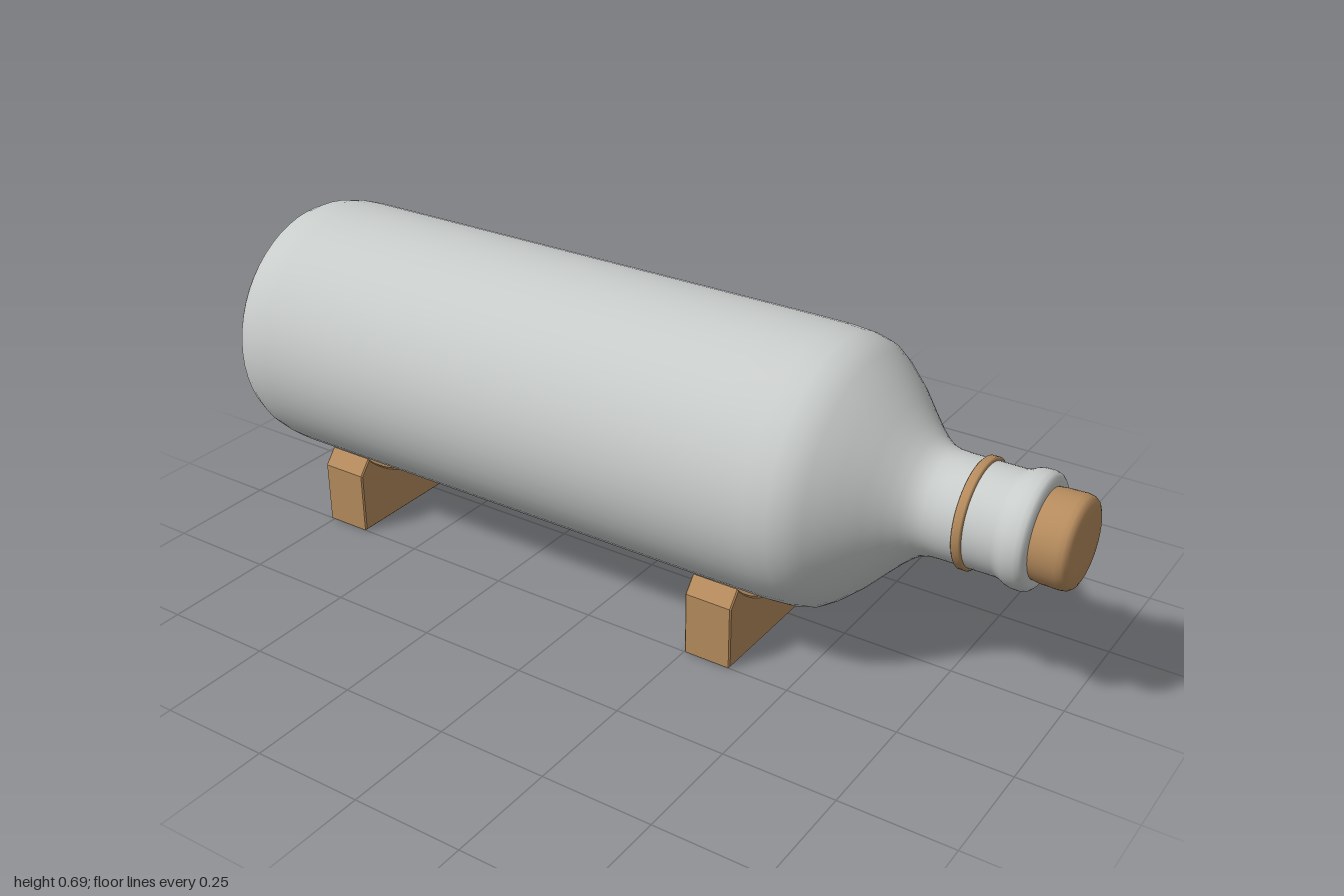
import * as THREE from 'three';

const AXIS_Y = 0.39; // height of the bottle's axis

export function createModel() {
  const model = new THREE.Group();
  model.name = 'bottleOnStand';
  const glass = new THREE.MeshStandardMaterial({ color: 0xc8ccca });
  glass.name = 'pale grey';
  const wood = new THREE.MeshStandardMaterial({ color: 0xb58b5d });
  wood.name = 'wood brown';

  // Turned part lying along x, from [x, radius] pairs
  function turned(name, profile, material) {
    const points = profile.map(([x, r]) => new THREE.Vector2(r, x));
    const geometry = new THREE.LatheGeometry(points, 56);
    geometry.rotateZ(-Math.PI / 2);
    geometry.translate(0, AXIS_Y, 0);
    const mesh = new THREE.Mesh(geometry, material);
    mesh.name = name;
    model.add(mesh);
  }

  // Body, shoulder, neck and lip in one profile
  turned('bottle', [
    [-1, 0], [-1, 0.22], [-0.998, 0.24], [-0.988, 0.262], [-0.97, 0.28], [-0.945, 0.291],
    [-0.905, 0.298], [-0.87, 0.3], [-0.8, 0.3], [0.3, 0.3], [0.41, 0.299], [0.46, 0.295],
    [0.495, 0.286], [0.525, 0.266], [0.57, 0.226], [0.61, 0.183], [0.64, 0.152],
    [0.665, 0.13], [0.685, 0.118], [0.705, 0.112], [0.73, 0.111], [0.85, 0.111],
    [0.862, 0.114], [0.873, 0.12], [0.885, 0.123], [0.902, 0.123], [0.912, 0.12],
    [0.918, 0.114], [0.92, 0.105], [0.919, 0.09], [0.919, 0],
  ], glass);

  // Thin ring round the neck
  turned('neckBand', [
    [0.769, 0.109], [0.77, 0.115], [0.773, 0.118], [0.787, 0.118], [0.79, 0.115], [0.791, 0.109],
  ], wood);

  // Stopper with softened rim
  turned('cork', [
    [0.9, 0.094], [0.92, 0.095], [0.935, 0.097], [0.975, 0.098], [0.987, 0.096],
    [0.994, 0.091], [0.998, 0.082], [1, 0.065], [1, 0],
  ], wood);

  // Two cradles with an arc cut to fit the body
  const cradle = new THREE.Shape();
  const start = Math.atan2(-0.21, 0.221);
  cradle.moveTo(-0.25, 0);
  cradle.lineTo(0.25, 0);
  cradle.lineTo(0.25, 0.145);
  cradle.lineTo(0.221, 0.18);
  cradle.absarc(0, AXIS_Y, 0.305, start, -Math.PI - start, true);
  cradle.lineTo(-0.25, 0.145);
  cradle.closePath();
  const bevel = 0.003;
  const width = 0.112;
  const cradleGeometry = new THREE.ExtrudeGeometry(cradle, {
    depth: width - 2 * bevel, curveSegments: 24,
    bevelEnabled: true, bevelThickness: bevel, bevelSize: bevel, bevelOffset: -bevel, bevelSegments: 1,
  });
  cradleGeometry.translate(0, 0, bevel - width / 2);
  cradleGeometry.rotateY(Math.PI / 2);
  for (const [name, x] of [['rearCradle', -0.705], ['neckCradle', 0.306]]) {
    const mesh = new THREE.Mesh(cradleGeometry, wood);
    mesh.name = name;
    mesh.position.x = x;
    model.add(mesh);
  }

  return model;
}
